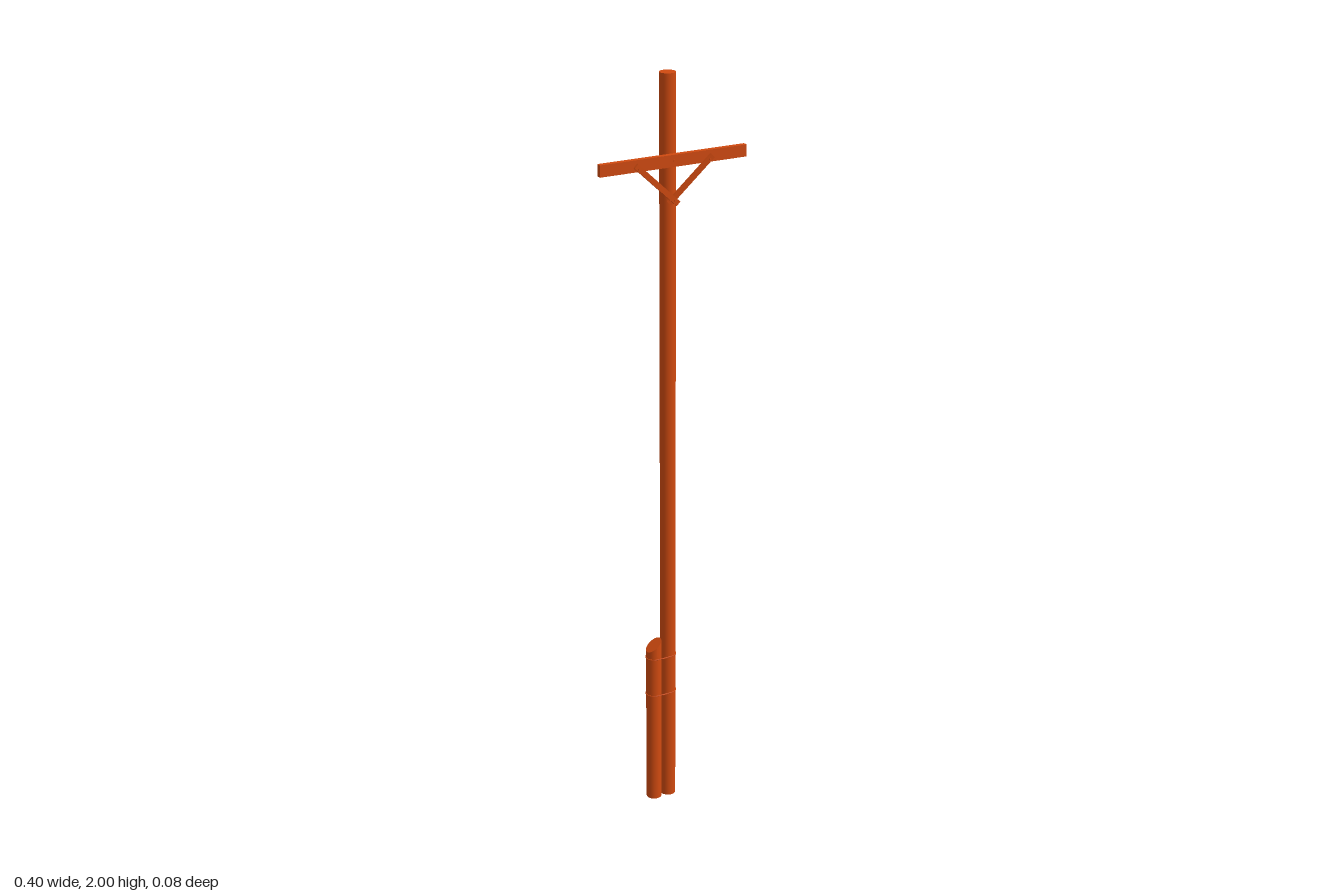
import * as THREE from 'three';

const wood = new THREE.MeshStandardMaterial({ color: 0xd04a10 });
const POLE_Z = -0.009, R = 0.0205, STUB_X = -0.0425;

export function createModel() {
  const group = new THREE.Group();
  const add = (name, geometry, x = 0, y = 0, z = 0) => {
    const mesh = new THREE.Mesh(geometry, wood);
    mesh.name = name;
    mesh.position.set(x, y, z);
    group.add(mesh);
    return mesh;
  };

  // Main pole
  add('pole', new THREE.CylinderGeometry(R, R, 2, 32), 0, 1, POLE_Z);

  // Support stub: its top is cut at a slant, rising towards the pole
  const stub = new THREE.CylinderGeometry(R, R, 0.465, 32);
  const p = stub.attributes.position;
  for (let i = 0; i < p.count; i++) {
    if (p.getY(i) > 0) p.setY(i, 0.2325 + p.getX(i) * 0.75);
  }
  stub.computeVertexNormals();
  add('supportStub', stub, STUB_X, 0.2325, POLE_Z);

  // Crossarm
  add('crossarm', new THREE.BoxGeometry(0.4, 0.03, 0.014), 0, 1.79, 0.0195);

  // Diagonal braces: flat bars that overlap at the pole
  const brace = (name, a, b) => {
    const dir = b.clone().sub(a);
    const mid = a.clone().add(b).multiplyScalar(0.5);
    const xAxis = dir.clone().normalize();
    const yAxis = new THREE.Vector3(0, 0, 1).cross(xAxis).normalize();
    const zAxis = xAxis.clone().cross(yAxis);
    const mesh = add(name, new THREE.BoxGeometry(dir.length(), 0.014, 0.006), mid.x, mid.y, mid.z);
    mesh.quaternion.setFromRotationMatrix(new THREE.Matrix4().makeBasis(xAxis, yAxis, zAxis));
  };
  brace('rightBrace', new THREE.Vector3(-0.107, 1.792, 0.031), new THREE.Vector3(0.01, 1.682, 0.026));
  brace('leftBrace', new THREE.Vector3(0.102, 1.792, 0.031), new THREE.Vector3(-0.01, 1.682, 0.016));

  // Bolts with a hexagonal head at the front and a nut at the back
  const bolt = (name, x, y, back, front, nutZ) => {
    const rod = new THREE.CylinderGeometry(0.0014, 0.0014, front - back, 8).rotateX(Math.PI / 2);
    add(name, rod, x, y, (front + back) / 2);
    for (const z of [front - 0.001, nutZ]) {
      add(name + 'Nut', new THREE.CylinderGeometry(0.003, 0.003, 0.002, 6).rotateX(Math.PI / 2), x, y, z);
    }
  };
  bolt('rightBraceBolt', -0.099, 1.784, 0.003, 0.037, 0.011);
  bolt('leftBraceBolt', 0.094, 1.784, 0.003, 0.037, 0.011);
  bolt('crossarmBolt', 0, 1.79, -0.038, 0.029, -0.03);
  bolt('lowerBolt', 0, 1.692, -0.038, 0.032, -0.03);

  // Wire bindings wrapped around both poles
  const loop = [];
  for (const [cx, start] of [[0, -Math.PI / 2], [STUB_X, Math.PI / 2]]) {
    for (let i = 0; i <= 12; i++) {
      const a = start + (i / 12) * Math.PI;
      loop.push(new THREE.Vector3(cx + Math.cos(a) * (R + 0.0006), 0, Math.sin(a) * (R + 0.0006)));
    }
  }
  const path = new THREE.CatmullRomCurve3(loop, true);
  for (const y of [0.32, 0.43]) {
    add('wireBinding', new THREE.TubeGeometry(path, 96, 0.0014, 6, true), 0, y, POLE_Z);
    // Twisted wire end between the poles
    add('wireTwist', new THREE.CylinderGeometry(0.0018, 0.0018, 0.012, 6), STUB_X / 2, y, POLE_Z + R + 0.002)
      .rotation.z = Math.PI / 2;
  }
  return group;
}
